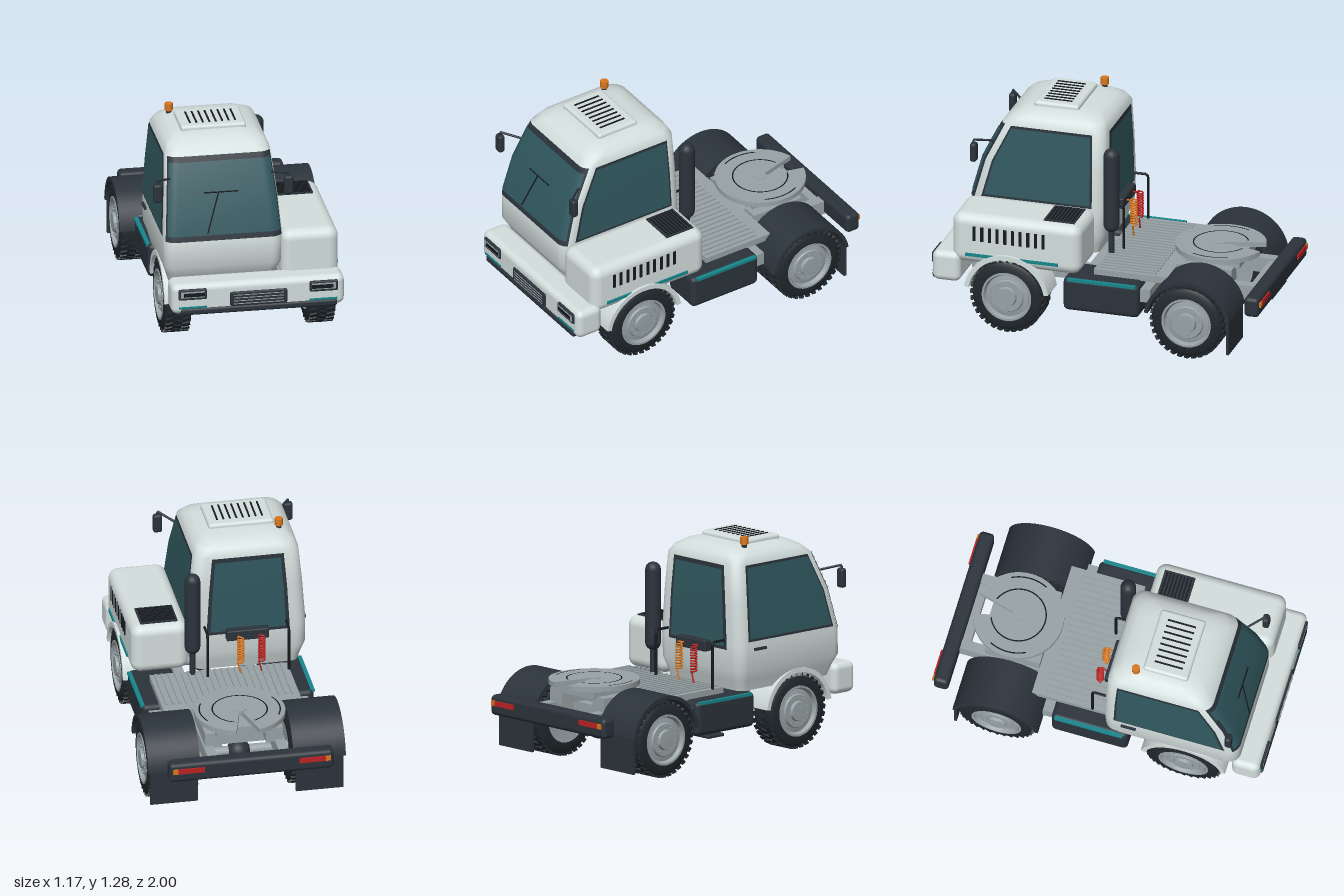
import * as THREE from 'three';
import { mergeGeometries, toCreasedNormals } from 'three/addons/utils/BufferGeometryUtils.js';
import { RoundedBoxGeometry } from 'three/addons/geometries/RoundedBoxGeometry.js';

const mat = (name, color) => Object.assign(new THREE.MeshStandardMaterial({ color }), { name });
const V = (x, y, z) => new THREE.Vector3(x, y, z);

export function createModel() {
  const truck = new THREE.Group();
  truck.name = 'truck';
  const white = mat('white paint', 0xd3dedd), dark = mat('dark trim', 0x2b333b), metal = mat('grey metal', 0x98a3a6);
  const rubber = mat('tyre rubber', 0x20272c), glass = mat('tinted glass', 0x30585f), teal = mat('teal stripe', 0x16868c);
  const orange = mat('orange lamp', 0xd9781e), red = mat('red lamp', 0xbb2222), black = mat('black slots', 0x14191d);

  const add = (name, geo, m, parent = truck) => {
    const mesh = new THREE.Mesh(geo, m);
    mesh.name = name;
    parent.add(mesh);
    return mesh;
  };
  // Box given by its limits; r rounds the edges
  const box = (name, m, x0, x1, y0, y1, z0, z1, r = 0) => {
    const s = [x1 - x0, y1 - y0, z1 - z0];
    const geo = r ? new RoundedBoxGeometry(...s, 4, r) : new THREE.BoxGeometry(...s);
    return add(name, geo.translate((x0 + x1) / 2, (y0 + y1) / 2, (z0 + z1) / 2), m);
  };
  const sides = (name, m, x0, x1, ...rest) => {
    box(name, m, x0, x1, ...rest);
    box(name, m, -x1, -x0, ...rest);
  };
  const tube = (name, m, pts, r, n = 16) =>
    add(name, new THREE.TubeGeometry(new THREE.CatmullRomCurve3(pts, false, 'catmullrom', 0.1), n, r, 8), m);
  const rod = (name, m, a, b, r, seg = 16) => {
    const mesh = add(name, new THREE.CylinderGeometry(r, r, a.distanceTo(b), seg), m);
    mesh.position.copy(a).lerp(b, 0.5);
    mesh.quaternion.setFromUnitVectors(V(0, 1, 0), b.clone().sub(a).normalize());
    return mesh;
  };

  // Cab: rounded rectangles stacked by height [y, half width, front z, back z, corner radius]
  const cx = -0.177, N = 8;
  const levels = [
    [0.4, 0.31, 0.8, 0.09, 0.05], [0.46, 0.325, 0.83, 0.07, 0.06], [0.52, 0.348, 0.865, 0.05, 0.07],
    [0.67, 0.35, 0.862, 0.045, 0.07], [0.92, 0.332, 0.795, 0.048, 0.07], [1.145, 0.31, 0.685, 0.055, 0.07],
    [1.19, 0.288, 0.64, 0.075, 0.09], [1.22, 0.245, 0.585, 0.12, 0.1], [1.235, 0.19, 0.52, 0.18, 0.09]];
  const section = y => {
    const i = Math.max(1, levels.findIndex(l => l[0] >= y));
    const a = levels[i - 1], b = levels[i], t = (y - a[0]) / (b[0] - a[0]);
    return a.map((v, k) => v + (b[k] - v) * t);
  };
  const ring = (y, off = 0) => {
    const [, hx, zf, zb, r] = section(y), pts = [];
    for (let c = 0; c < 4; c++) for (let k = 0; k <= N; k++) {
      const a = (c + k / N) * Math.PI / 2;
      const sx = c === 0 || c === 3 ? hx - r : r - hx, sz = c < 2 ? zf - r : zb + r;
      pts.push(V(cx + sx + (r + off) * Math.cos(a), y, sz + (r + off) * Math.sin(a)));
    }
    return [...pts, pts[0].clone()];
  };
  const skin = (rows, capped) => {
    const n = rows[0].length, pos = rows.flat().flatMap(p => p.toArray()), idx = [];
    for (let j = 0; j < rows.length - 1; j++) for (let i = 0; i < n - 1; i++) {
      const a = j * n + i, c = a + n;
      idx.push(a, c, a + 1, a + 1, c, c + 1);
    }
    if (capped) {
      const top = (rows.length - 1) * n;
      for (let i = 1; i < n - 2; i++) idx.push(0, i, i + 1, top, top + i + 1, top + i);
    }
    const geo = new THREE.BufferGeometry();
    geo.setAttribute('position', new THREE.Float32BufferAttribute(pos, 3));
    geo.setIndex(idx);
    return toCreasedNormals(geo, 0.7);
  };
  add('cab', skin(levels.map(l => ring(l[0])), true), white);

  // Windows: patches of the cab surface between two ring positions
  const patch = (name, m, i0, i1, y0, y1, off) => {
    const ids = [i0];
    for (let i = Math.floor(i0) + 1; i < i1; i++) ids.push(i);
    ids.push(i1);
    const rows = [y0, 0.92, y1].map(y => {
      const p = ring(y, off);
      return ids.map(i => p[Math.floor(i)].clone().lerp(p[Math.min(Math.ceil(i), p.length - 1)], i % 1));
    });
    add(name, skin(rows), m);
  };
  patch('windshieldFrame', dark, 3, 14, 0.68, 1.145, 0.004);
  patch('windshield', glass, 4, 13, 0.712, 1.115, 0.008);
  for (const i of [17, 35]) {
    patch('sideWindowFrame', dark, i, i + 1, 0.695, 1.142, 0.004);
    patch('sideWindow', glass, i + 0.02, i + 0.98, 0.71, 1.128, 0.008);
  }
  patch('rearWindowFrame', dark, 26.06, 26.94, 0.645, 1.14, 0.005);
  patch('rearWindow', glass, 26.1, 26.9, 0.665, 1.115, 0.009);
  box('doorHandle', dark, -0.54, -0.52, 0.64, 0.655, 0.16, 0.25);

  // Wiper
  rod('wiperArm', black, V(-0.275, 0.725, 0.862), V(-0.2, 0.955, 0.798), 0.004, 6);
  rod('wiperBlade', black, V(-0.285, 0.955, 0.797), V(-0.085, 0.955, 0.797), 0.004, 6);

  // Mirrors
  for (const s of [-1, 1]) {
    const x = cx + s * 0.385;
    box('mirror', dark, x - 0.027, x + 0.027, 0.925, 1.04, 0.8, 0.84, 0.015);
    tube('mirrorArm', dark, [V(x, 1.03, 0.82), V(x, 1.058, 0.82), V(cx + s * 0.3, 1.03, 0.73)], 0.007);
  }

  // Roof hatch and beacon
  box('roofHatch', white, -0.37, 0.015, 1.215, 1.26, 0.245, 0.515, 0.018);
  for (let i = 0; i < 8; i++) {
    const x = -0.31 + i * 0.038;
    box('hatchSlot', black, x - 0.005, x + 0.005, 1.257, 1.264, 0.3, 0.47);
  }
  rod('beaconBase', dark, V(-0.39, 1.2, 0.21), V(-0.39, 1.245, 0.21), 0.016);
  rod('beacon', orange, V(-0.39, 1.243, 0.21), V(-0.39, 1.285, 0.21), 0.024);

  // Engine hood with vents
  box('hood', white, 0.16, 0.498, 0.4, 0.705, 0.09, 0.87, 0.06);
  box('hoodGrille', dark, 0.22, 0.44, 0.7, 0.712, 0.14, 0.325);
  for (let i = 0; i < 8; i++) box('hoodGrilleSlat', black, 0.23, 0.43, 0.71, 0.716, 0.153 + i * 0.021, 0.163 + i * 0.021);
  for (let i = 0; i < 10; i++) {
    const z = 0.31 + i * 0.0465;
    box('hoodVent', black, 0.495, 0.502, 0.55, 0.64, z - 0.009, z + 0.009);
  }
  box('hoodStripe', teal, 0.494, 0.506, 0.452, 0.47, 0.22, 0.78);

  // Front bumper
  box('bumper', white, -0.508, 0.51, 0.275, 0.46, 0.815, 0.985, 0.04);
  box('bumperLip', dark, -0.455, 0.465, 0.273, 0.315, 0.9, 0.994, 0.015);
  box('bumperGrille', dark, -0.165, 0.17, 0.315, 0.402, 0.97, 0.997, 0.008);
  for (let i = 0; i < 4; i++) box('bumperGrilleSlat', metal, -0.145, 0.15, 0.328 + i * 0.018, 0.332 + i * 0.018, 0.99, 1);
  sides('headlamp', dark, 0.303, 0.468, 0.37, 0.435, 0.97, 0.996, 0.008);
  sides('headlampLens', metal, 0.315, 0.456, 0.385, 0.423, 0.99, 0.998);
  sides('headlampInner', black, 0.315, 0.44, 0.391, 0.414, 0.99, 1);
  sides('bumperStripe', teal, 0.303, 0.465, 0.315, 0.326, 0.975, 0.99);

  // Chassis
  sides('frameRail', metal, 0.18, 0.24, 0.27, 0.36, -0.92, 0.82);
  for (const z of [-0.88, -0.58, 0.1, 0.53]) box('crossMember', metal, -0.19, 0.19, 0.285, 0.345, z - 0.03, z + 0.03);
  box('rearCrossBeam', metal, -0.47, 0.47, 0.28, 0.36, -0.33, -0.19);
  rod('propShaft', metal, V(0, 0.225, 0.53), V(0, 0.225, -0.58), 0.02);
  box('deck', metal, -0.405, 0.408, 0.385, 0.425, -0.415, 0.03);
  for (let i = 0; i < 20; i++) box('deckRib', metal, -0.373 + i * 0.039, -0.358 + i * 0.039, 0.42, 0.434, -0.34, 0.02);
  sides('tank', dark, 0.25, 0.508, 0.185, 0.39, -0.27, 0.19, 0.03);
  sides('tankStripe', teal, 0.49, 0.514, 0.372, 0.388, -0.25, 0.16);
  box('underTray', dark, -0.45, 0.02, 0.145, 0.165, -0.13, 0, 0.008);
  for (const x of [-0.3, -0.05]) box('trayHanger', dark, x - 0.01, x + 0.01, 0.16, 0.39, -0.075, -0.055);

  // Coupling plate with a tapered notch to the rear
  const shape = new THREE.Shape();
  shape.absarc(0, 0, 0.265, Math.PI * 0.583, Math.PI * 2.417, false);
  shape.lineTo(0.008, 0.03).lineTo(-0.008, 0.03);
  const plate = add('couplingPlate', new THREE.ExtrudeGeometry(shape, { depth: 0.03, bevelEnabled: false, curveSegments: 48 }), metal);
  plate.rotation.x = -Math.PI / 2;
  plate.position.set(0, 0.48, -0.615);
  for (const r of [0.16, 0.235]) {
    const half = r > 0.2;
    for (const start of half ? [0.85, 1.85] : [0.62]) {
      const groove = add('plateGroove', new THREE.RingGeometry(r - 0.004, r + 0.004, 48, 1, Math.PI * start, Math.PI * (half ? 0.3 : 1.76)), black);
      groove.rotation.x = -Math.PI / 2;
      groove.position.set(0, 0.5115, -0.615);
    }
  }
  rod('couplingPin', metal, V(0, 0.48, -0.615), V(0, 0.514, -0.615), 0.036, 24);
  box('couplingBase', metal, -0.17, 0.17, 0.43, 0.482, -0.78, -0.45);
  sides('couplingLeg', metal, 0.13, 0.23, 0.35, 0.44, -0.75, -0.42);

  // Wheels: tyre, tread blocks, dished rim and bolts, facing +x
  const R = 0.225, lathe = pts => new THREE.LatheGeometry(pts.map(p => new THREE.Vector2(...p)), 40).rotateZ(-Math.PI / 2);
  const wheel = (x, z, w, flip) => {
    const g = new THREE.Group(), h = w / 2;
    g.name = 'wheel';
    add('tyre', toCreasedNormals(lathe([[0.145, -h], [0.19, -h], [0.208, -h + 0.012], [0.214, -h + 0.03],
      [0.214, h - 0.03], [0.208, h - 0.012], [0.19, h], [0.145, h], [0.14, h - 0.02]]), 0.6), rubber, g);
    const blocks = [];
    for (let row = 0; row < 3; row++) for (let i = 0; i < 32; i++)
      blocks.push(new THREE.BoxGeometry(w * 0.27, 0.014, 0.026).rotateY(row === 1 ? -0.3 : 0.3)
        .translate((row - 1) * w * 0.31, R - 0.008, 0).rotateX((i + (row % 2) / 2) * Math.PI / 16));
    add('tread', mergeGeometries(blocks), rubber, g);
    add('rim', toCreasedNormals(lathe([[0, -h + 0.02], [0.15, -h + 0.005], [0.15, h + 0.004], [0.138, h + 0.004], [0.128, h - 0.02],
      [0.1, h - 0.015], [0.095, h - 0.005], [0.06, h - 0.005], [0.055, h + 0.012], [0, h + 0.014]]), 0.4), metal, g);
    const bolts = [];
    for (let i = 0; i < 10; i++)
      bolts.push(new THREE.CylinderGeometry(0.006, 0.006, 0.012, 6).rotateZ(Math.PI / 2).translate(h - 0.003, 0.078, 0).rotateX(i * Math.PI / 5));
    add('bolts', mergeGeometries(bolts), metal, g);
    g.position.set(x, R, z);
    if (flip) g.rotation.y = Math.PI;
    truck.add(g);
  };
  // Arched fender spanning x0 to x1
  const fender = (m, x0, x1, z, ro, ri) => {
    const s = new THREE.Shape();
    s.absarc(0, 0, ro, 0.16, Math.PI - 0.16, false);
    s.absarc(0, 0, ri, Math.PI - 0.16, 0.16, true);
    const geo = new THREE.ExtrudeGeometry(s, { depth: x1 - x0, bevelEnabled: false, curveSegments: 32 });
    add('fender', toCreasedNormals(geo.rotateY(Math.PI / 2).translate(x0, R, z), 0.5), m);
  };
  for (const s of [-1, 1]) {
    wheel(s * 0.425, 0.53, 0.16, s < 0);
    wheel(s * 0.343, -0.58, 0.145, s < 0);
    wheel(s * 0.498, -0.58, 0.145, s < 0);
    const span = (a, b) => (s > 0 ? [a, b] : [-b, -a]);
    fender(white, ...span(0.34, 0.515), 0.53, 0.258, 0.23);
    fender(dark, ...span(0.275, 0.583), -0.585, 0.262, 0.24);
  }
  sides('mudFlap', dark, 0.29, 0.57, 0.055, 0.29, -0.837, -0.82);
  for (const z of [0.53, -0.58]) {
    rod('axle', metal, V(-0.4, R - 0.005, z), V(0.4, R - 0.005, z), 0.03);
    add('differential', new THREE.SphereGeometry(0.07, 20, 14), dark).position.set(0, R - 0.008, z);
    sides('leafSpring', metal, 0.225, 0.265, 0.25, 0.27, z - 0.17, z + 0.17);
  }

  // Rear bar and lamps
  box('rearBar', dark, -0.485, 0.485, 0.27, 0.39, -0.99, -0.9, 0.025);
  sides('tailLamp', red, 0.28, 0.435, 0.33, 0.36, -1, -0.985);
  sides('turnLamp', orange, 0.435, 0.465, 0.33, 0.36, -1, -0.985);

  // Exhaust, grab bars and coiled hoses behind the cab
  const stack = add('exhaust', new THREE.CapsuleGeometry(0.046, 0.43, 6, 20), dark);
  stack.position.set(0.16, 0.823, 0);
  rod('exhaustPipe', dark, V(0.16, 0.42, 0), V(0.16, 0.6, 0), 0.018);
  for (const x of [-0.4, 0.08])
    tube('grabBar', black, [V(x, 0.42, -0.05), V(x, 0.68, -0.05), V(x, 0.7, -0.04), V(x, 0.7, 0.06)], 0.008, 24);
  box('hoseBox', dark, -0.292, -0.042, 0.62, 0.685, -0.01, 0.05, 0.008);
  for (const [x, m] of [[-0.24, red], [-0.115, orange]]) {
    const pts = [V(x, 0.65, 0)];
    for (let i = 0; i <= 80; i++) pts.push(V(x + 0.018 * Math.cos(i * 0.785), 0.66 - i * 0.002, -0.05 + 0.018 * Math.sin(i * 0.785)));
    tube('coiledHose', m, [...pts, V(x, 0.43, -0.05)], 0.005, 200);
  }
  return truck;
}
